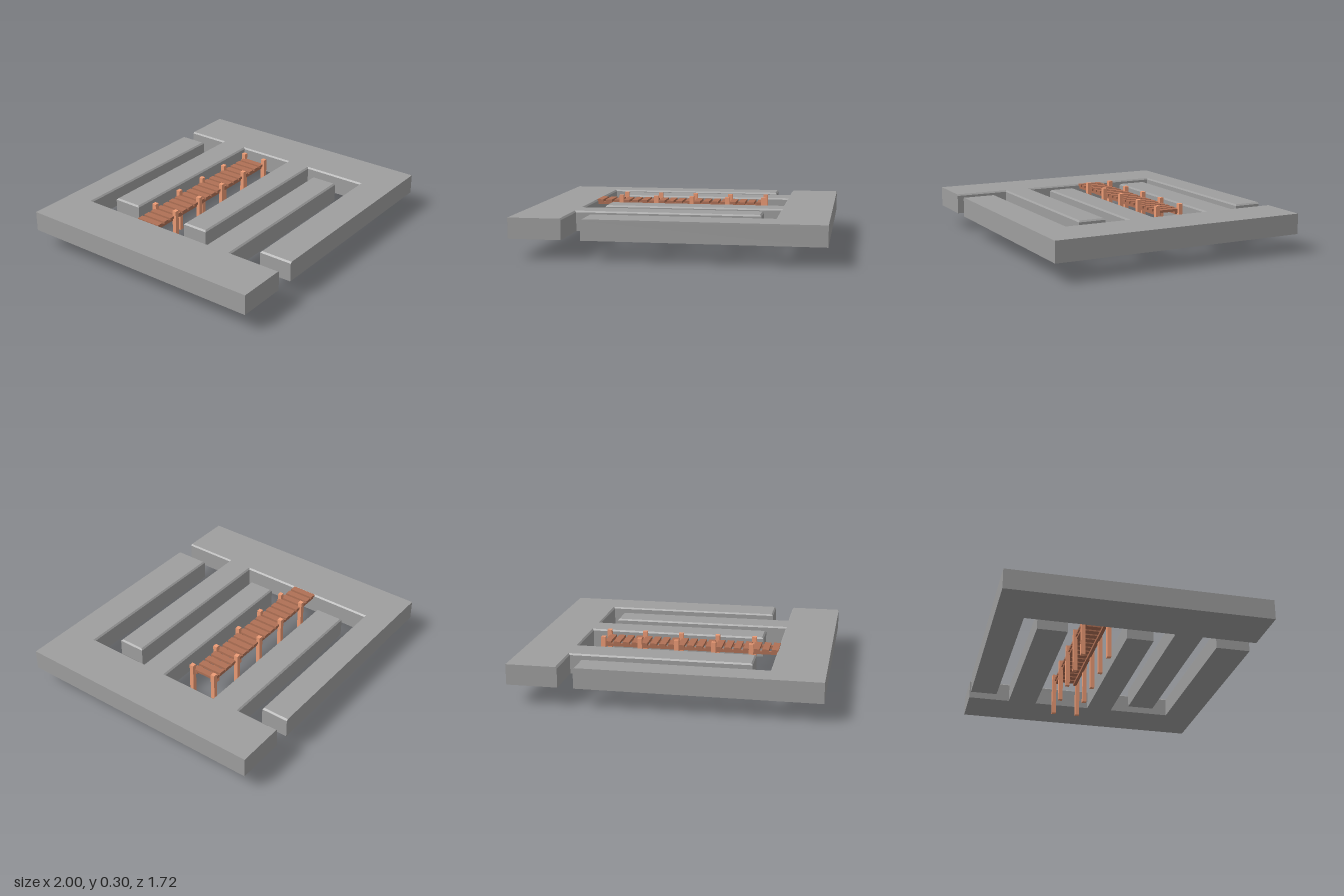
import * as THREE from 'three';

const BOTTOM = 0.128, TOP = 0.263, BEVEL = 0.01, EDGE_X = 1, EDGE_Z = 0.86;

// Outlines run counter-clockwise as [x, -z].
const WEST_BANK = [[-1, -0.86], [-0.655, -0.86], [-0.655, -0.495], [0.562, -0.495], [0.562, -0.31],
  [-0.655, -0.31], [-0.655, 0.675], [0.562, 0.675], [0.562, 0.86], [-1, 0.86]];
const EAST_BANK = [[1, 0.86], [0.665, 0.86], [0.665, 0.57], [-0.53, 0.57], [-0.53, 0.37],
  [0.665, 0.37], [0.665, -0.02], [-0.53, -0.02], [-0.53, -0.2], [0.665, -0.2],
  [0.665, -0.63], [-0.53, -0.63], [-0.53, -0.86], [1, -0.86]];

// Inward shift of one edge; edges on the outer border stay sharp.
function edgeShift(a, b) {
  const onBorder = (i, limit) => a[i] === b[i] && Math.abs(a[i]) === limit;
  if (onBorder(0, EDGE_X) || onBorder(1, EDGE_Z)) return [0, 0];
  return [-Math.sign(b[1] - a[1]) * BEVEL, Math.sign(b[0] - a[0]) * BEVEL];
}

// Extruded slab whose top rim is bevelled along the channel.
function bankGeometry(outline) {
  const n = outline.length;
  const shifts = outline.map((p, i) => {
    const before = edgeShift(outline[(i + n - 1) % n], p);
    const after = edgeShift(p, outline[(i + 1) % n]);
    return [before[0] + after[0], before[1] + after[1]];
  });
  const shape = new THREE.Shape(outline.map(p => new THREE.Vector2(...p)));
  const geometry = new THREE.ExtrudeGeometry(shape, { depth: 2, steps: 2, bevelEnabled: false });
  const levels = [BOTTOM, TOP - BEVEL, TOP];
  const pos = geometry.attributes.position;
  for (let i = 0; i < pos.count; i++) {
    const x = pos.getX(i), y = pos.getY(i), level = Math.round(pos.getZ(i));
    const corner = outline.findIndex(p => Math.hypot(p[0] - x, p[1] - y) < 1e-4);
    const [dx, dy] = level === 2 ? shifts[corner] : [0, 0];
    pos.setXYZ(i, x + dx, y + dy, levels[level]);
  }
  geometry.computeVertexNormals();
  return geometry.rotateX(-Math.PI / 2);
}

export function createModel() {
  const model = new THREE.Group();
  model.name = 'channelWithFootbridge';
  const stone = new THREE.MeshStandardMaterial({ color: 0x9e9e9e });
  const plankWood = new THREE.MeshStandardMaterial({ color: 0xaf7055 });
  const postWood = new THREE.MeshStandardMaterial({ color: 0xec9b75 });

  const add = (parent, name, geometry, material, x = 0, y = 0, z = 0) => {
    const mesh = new THREE.Mesh(geometry, material);
    mesh.name = name;
    mesh.position.set(x, y, z);
    parent.add(mesh);
  };

  // Two interlocking banks with the winding channel between them
  add(model, 'rightBank', bankGeometry(WEST_BANK), stone);
  add(model, 'leftBank', bankGeometry(EAST_BANK), stone);

  // Footbridge in the middle channel
  const bridge = new THREE.Group();
  bridge.name = 'footbridge';
  bridge.position.z = -0.175;
  model.add(bridge);

  // Deck planks
  const plank = new THREE.BoxGeometry(0.045, 0.017, 0.172);
  for (let i = 0; i < 19; i++) add(bridge, 'plank', plank, plankWood, -0.638 + i * 0.0628, 0.257, 0);

  // Rails below the deck and square posts at both sides
  const rail = new THREE.BoxGeometry(1.17, 0.02, 0.022);
  const post = new THREE.BoxGeometry(0.03, 0.3, 0.028);
  for (const side of [-1, 1]) {
    add(bridge, 'rail', rail, plankWood, -0.073, 0.24, side * 0.066);
    for (let i = 0; i < 5; i++) add(bridge, 'post', post, postWood, -0.482 + i * 0.25, 0.15, side * 0.086);
  }
  return model;
}
